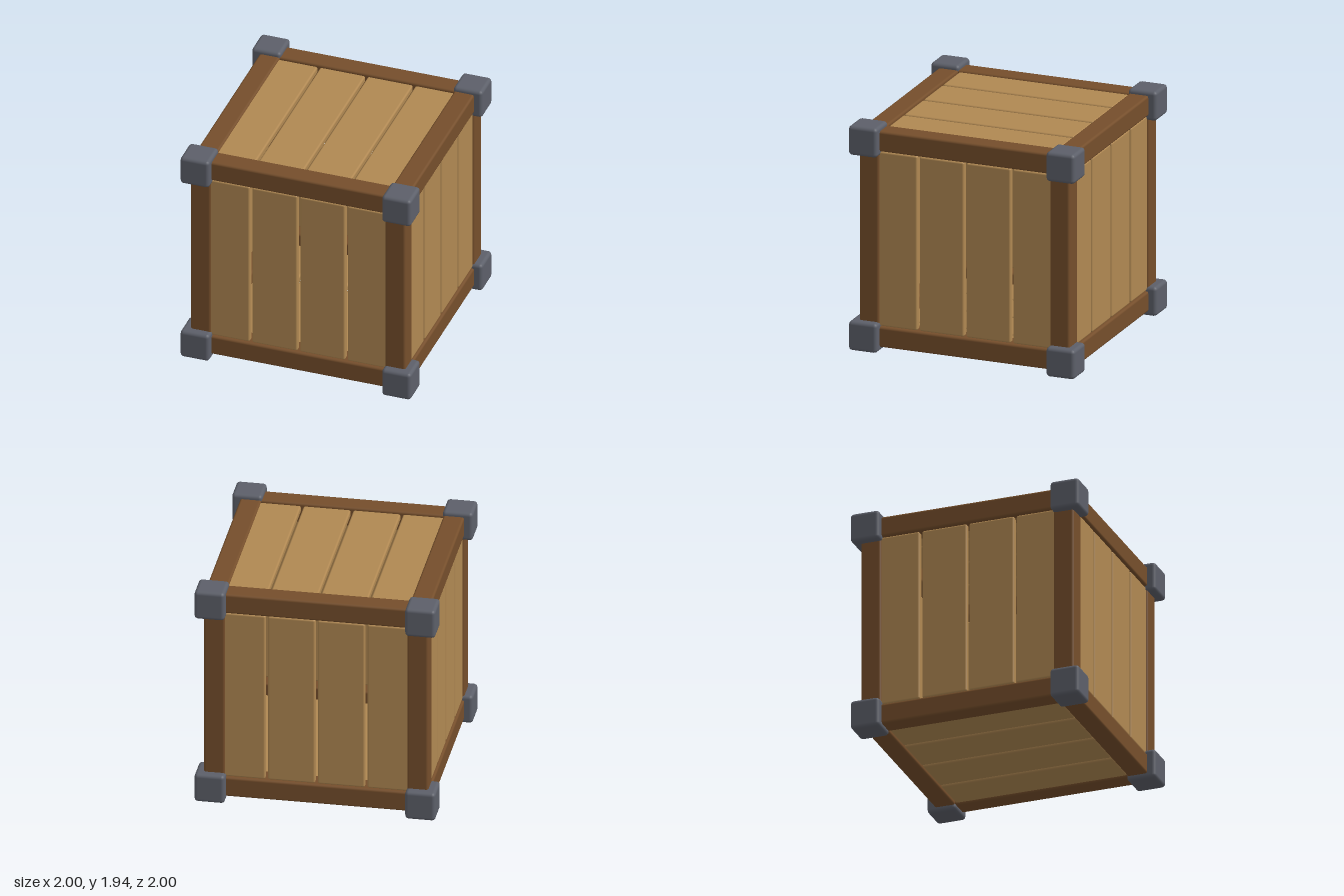
import * as THREE from 'three';
import { RoundedBoxGeometry } from 'three/addons/geometries/RoundedBoxGeometry.js';

const MID = 0.968;          // height of the crate's centre
const RAIL = 0.175;         // rail thickness
const RAIL_POS = 0.843;     // rail centre line from the crate's centre
const PLANK_FACE = 0.915;   // outer plank surface, slightly recessed
const PLANK_THICK = 0.06;

function material(name, color) {
  const m = new THREE.MeshStandardMaterial({ color });
  m.name = name;
  return m;
}

export function createModel() {
  const plankWood = material('plank wood', 0xb08852);
  const railWood = material('rail wood', 0x754e2b);
  const iron = material('corner iron', 0x5c5f69);

  const model = new THREE.Group();
  model.name = 'crate';
  const body = new THREE.Group();
  body.name = 'crateBody';
  body.position.y = MID;
  model.add(body);

  function add(parent, name, geometry, mat, x, y, z) {
    const mesh = new THREE.Mesh(geometry, mat);
    mesh.name = name;
    mesh.position.set(x, y, z);
    parent.add(mesh);
    return mesh;
  }

  // Six panels of four planks with open gaps between them
  const plank = new RoundedBoxGeometry(0.392, 1.504, PLANK_THICK, 2, 0.016);
  const panels = [
    ['frontPanel', 0, 0], ['backPanel', 0, Math.PI],
    ['leftPanel', 0, Math.PI / 2], ['rightPanel', 0, -Math.PI / 2],
    ['topPanel', -Math.PI / 2, 0], ['bottomPanel', Math.PI / 2, 0],
  ];
  for (const [name, rx, ry] of panels) {
    const panel = new THREE.Group();
    panel.name = name;
    panel.rotation.set(rx, ry, 0);
    for (let i = 0; i < 4; i++) {
      add(panel, 'plank', plank, plankWood, (i - 1.5) * 0.413, 0, PLANK_FACE - PLANK_THICK / 2);
    }
    body.add(panel);
  }

  // Twelve edge rails, four along each axis
  const rail = new RoundedBoxGeometry(RAIL, 1.7, RAIL, 2, 0.02);
  for (const a of [-RAIL_POS, RAIL_POS]) {
    for (const b of [-RAIL_POS, RAIL_POS]) {
      add(body, 'uprightRail', rail, railWood, a, 0, b);
      add(body, 'crossRail', rail, railWood, 0, a, b).rotation.z = Math.PI / 2;
      add(body, 'sideRail', rail, railWood, a, b, 0).rotation.x = Math.PI / 2;
    }
  }

  // Eight corner blocks
  const block = new RoundedBoxGeometry(0.252, 0.252, 0.252, 2, 0.03);
  for (const x of [-0.874, 0.874]) {
    for (const y of [-0.842, 0.842]) {
      for (const z of [-0.874, 0.874]) add(body, 'cornerBlock', block, iron, x, y, z);
    }
  }

  return model;
}
